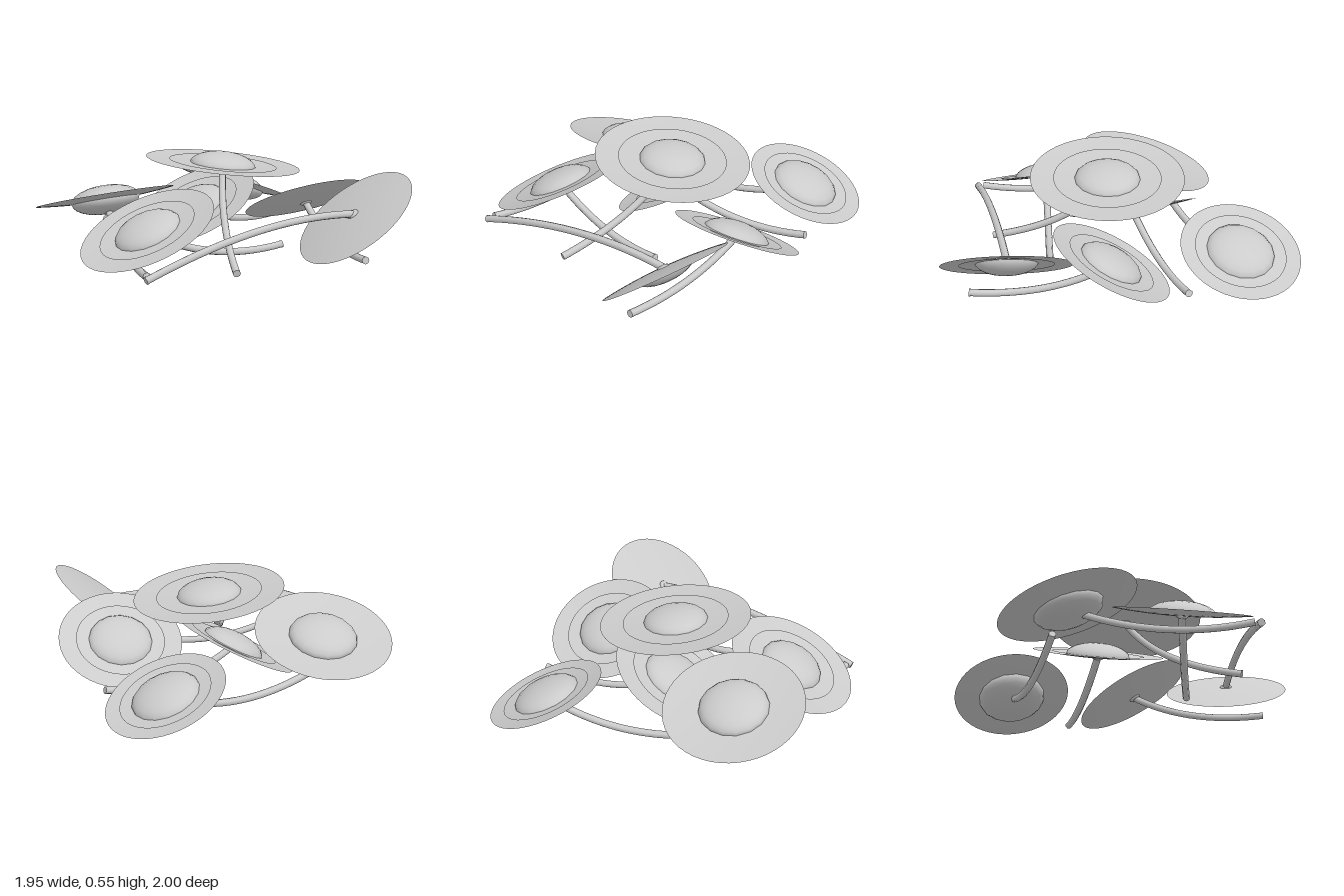
import * as THREE from 'three';

const material = new THREE.MeshStandardMaterial({ color: 0xcccccc });
const thinMaterial = new THREE.MeshStandardMaterial({ color: 0xcccccc, side: THREE.DoubleSide });
const UP = new THREE.Vector3(0, 1, 0);
const DEPTH = 0.025; // how far the petals dip towards the stem

// position, facing direction, petal radius, inner ring ratio, centre radius,
// stem bend and stem end; "button" gives a centre that bulges on both sides
const FLOWERS = [
  { name: 'topFlower', at: [0.075, 0.493, 0.107], face: [0.11, 1, -0.025], r: 0.445, ring: 0.7, eye: 0.192,
    bend: [0, 0.15, 0.3], end: [-0.06, 0.03, 0.79] },
  { name: 'rightFlower', at: [-0.576, 0.285, -0.11], face: [-0.08, 0.95, -0.29], r: 0.405, ring: 0, eye: 0.203, button: true,
    bend: [-0.58, 0.02, 0.4], end: [-0.59, 0.09, 0.91] },
  { name: 'frontRightFlower', at: [-0.487, 0.237, 0.515], face: [-0.4, 0.9, 0.14], r: 0.39, ring: 0.71, eye: 0.193,
    bend: [-0.1, 0, 0.47], end: [0.32, 0.07, 0.43] },
  { name: 'overturnedFlower', at: [0.684, 0.25, 0.635], face: [0.61, -0.79, -0.05], r: 0.367, ring: 0.72, eye: 0.175,
    bend: [0.1, 0.33, 0.77], end: [-0.6, 0.08, 0.95] },
  { name: 'backFlower', at: [0.383, 0.193, -0.657], face: [0.33, 0.92, -0.19], r: 0.349, ring: 0.76, eye: 0.2, button: true,
    bend: [-0.05, -0.06, -0.45], end: [-0.55, 0.13, -0.2] },
  { name: 'leftFlower', at: [0.6, 0.232, 0.063], face: [-0.09, 0.88, -0.47], r: 0.363, ring: 0.72, eye: 0.19,
    bend: [0.62, 0.02, 0.4], end: [0.66, 0.06, 0.85] },
  { name: 'middleFlower', at: [-0.06, 0.225, -0.035], face: [-0.45, 0.88, 0.16], r: 0.38, ring: 0.71, eye: 0.19,
    bend: [0.28, 0, -0.2], end: [0.7, 0.1, -0.36] },
];

function add(parent, name, geometry, mat = material) {
  const mesh = new THREE.Mesh(geometry, mat);
  mesh.name = name;
  parent.add(mesh);
  return mesh;
}

// shallow bowl of petals: level at the full radius, dipping at the middle
function petals(radius, reach) {
  const profile = [];
  for (let i = 0; i <= 6; i++) {
    const t = (i / 6) * reach;
    profile.push(new THREE.Vector2(radius * t, -DEPTH * (1 - t * t)));
  }
  return new THREE.LatheGeometry(profile, 48);
}

function makeFlower(f) {
  const flower = new THREE.Group();
  flower.name = f.name;
  const face = new THREE.Vector3(...f.face).normalize();

  // flower head, built facing up and then turned to its direction
  const head = new THREE.Group();
  head.name = 'head';
  add(head, 'outerPetals', petals(f.r, 1), thinMaterial);
  if (f.ring) add(head, 'innerPetals', petals(f.r, f.ring), thinMaterial).position.y = 0.01;
  const span = f.button ? Math.PI : Math.PI / 2;
  const centre = new THREE.SphereGeometry(f.eye, 16, f.button ? 12 : 6, 0, Math.PI * 2, 0, span).scale(1, 0.42, 1);
  add(head, 'flowerCentre', centre).position.y = -0.018;
  add(head, 'stemJoint', new THREE.SphereGeometry(0.036, 12, 6).scale(1, 0.4, 1)).position.y = -DEPTH;
  head.position.set(...f.at);
  head.quaternion.setFromUnitVectors(UP, face);
  flower.add(head);

  // curved stem from behind the head, with a flat cut at its free end
  const start = new THREE.Vector3(...f.at).addScaledVector(face, -DEPTH);
  const end = new THREE.Vector3(...f.end);
  const path = new THREE.QuadraticBezierCurve3(start, new THREE.Vector3(...f.bend), end);
  add(flower, 'stem', new THREE.TubeGeometry(path, 20, 0.021, 8, false));
  const cut = add(flower, 'stemEnd', new THREE.CylinderGeometry(0.022, 0.021, 0.012, 8));
  cut.position.copy(end);
  cut.quaternion.setFromUnitVectors(UP, path.getTangent(1));
  return flower;
}

export function createModel() {
  const group = new THREE.Group();
  group.name = 'scatteredFlowers';
  for (const f of FLOWERS) group.add(makeFlower(f));
  return group;
}
